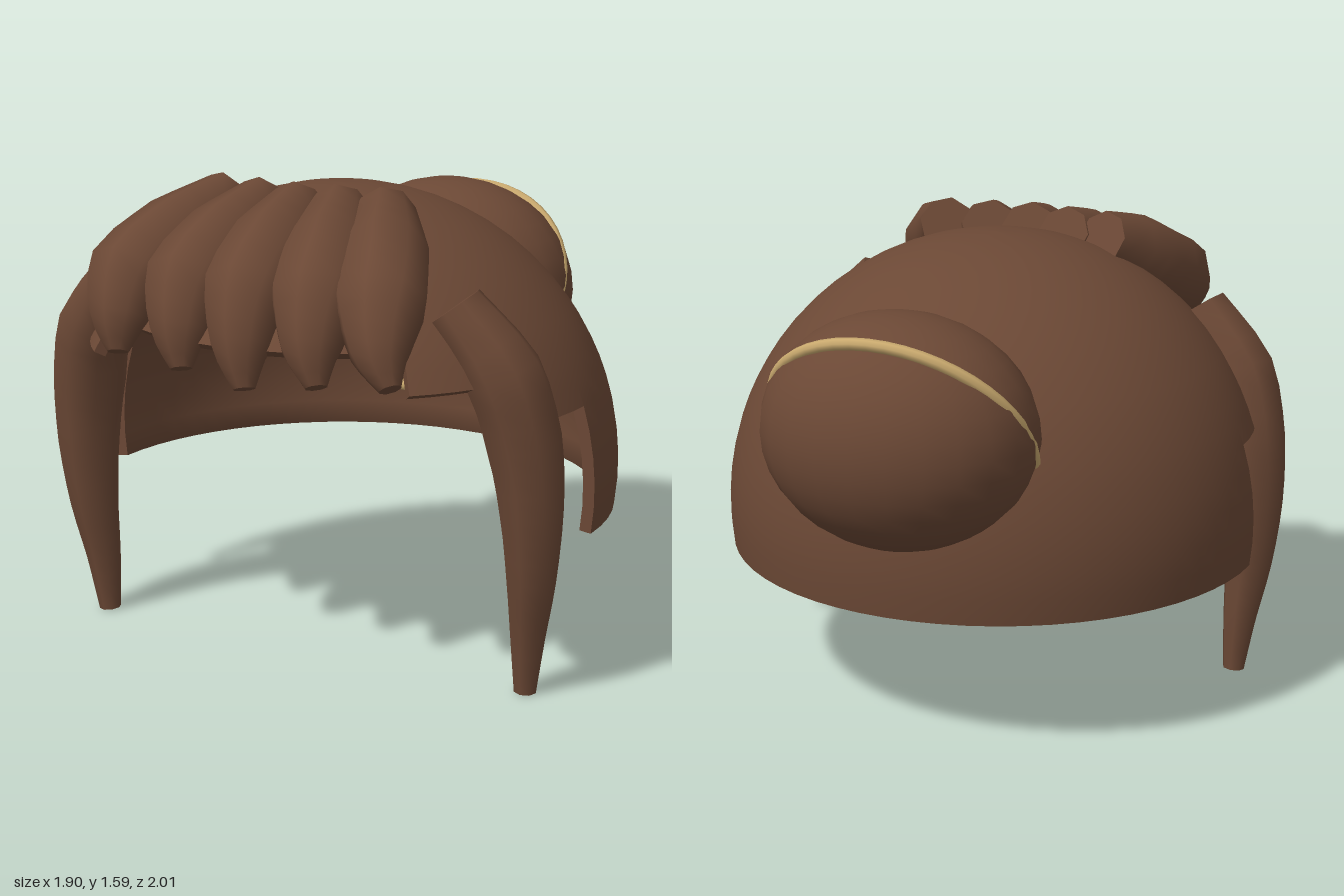
import * as THREE from 'three';

const hair = new THREE.MeshStandardMaterial({ color: 0x6b4835, side: THREE.DoubleSide });
hair.name = 'brown hair';
const gold = new THREE.MeshStandardMaterial({ color: 0xc9a96e });
gold.name = 'gold band';

function add(parent, name, geometry, material) {
  const mesh = new THREE.Mesh(geometry, material);
  mesh.name = name;
  parent.add(mesh);
  return mesh;
}

// Tapered lock swept along a curve; stations are [x, y, z, radius]
function lockGeometry(stations, ref, sides = 8, steps = 12) {
  const curve = new THREE.CatmullRomCurve3(stations.map(s => new THREE.Vector3(s[0], s[1], s[2])));
  const pos = [], index = [];
  const ring = (k, scale) => {
    const f = k / steps, p = curve.getPoint(f), t = curve.getTangent(f);
    const u = new THREE.Vector3().crossVectors(ref, t).normalize();
    const v = new THREE.Vector3().crossVectors(t, u);
    const g = f * (stations.length - 1), i = Math.min(Math.floor(g), stations.length - 2);
    const r = THREE.MathUtils.lerp(stations[i][3], stations[i + 1][3], g - i) * scale;
    for (let j = 0; j < sides; j++) {
      const a = j / sides * Math.PI * 2;
      const q = p.clone().addScaledVector(u, r * Math.cos(a)).addScaledVector(v, r * Math.sin(a));
      pos.push(q.x, q.y, q.z);
    }
  };
  // doubled end rings keep the flat ends sharp
  ring(0, 0); ring(0, 1);
  for (let k = 0; k <= steps; k++) ring(k, 1);
  ring(steps, 1); ring(steps, 0);
  const rings = pos.length / 3 / sides;
  for (let i = 0; i < rings - 1; i++) {
    if (i === 1 || i === rings - 3) continue;
    for (let j = 0; j < sides; j++) {
      const a = i * sides + j, b = i * sides + (j + 1) % sides;
      index.push(a, b, a + sides, b, b + sides, a + sides);
    }
  }
  const geo = new THREE.BufferGeometry();
  geo.setAttribute('position', new THREE.Float32BufferAttribute(pos, 3));
  geo.setIndex(index);
  geo.computeVertexNormals();
  return geo;
}

// Cap: thick sphere sectors with a stepped hem
function buildCap() {
  const cap = new THREE.Group();
  cap.name = 'cap';
  cap.position.set(0, 0.615, 0.16);
  const R = 0.93, THICK = 0.04, deg = Math.PI / 180;

  // shared polar angles, so neighbouring sectors meet exactly
  const angles = [0], hems = [];
  for (const [hem, n] of [[1.15, 10], [1.03, 2], [0.9, 2], [0.48, 5]]) {
    const from = angles[angles.length - 1], to = Math.acos((hem - 0.615) / R);
    for (let i = 1; i <= n; i++) angles.push(from + (to - from) * i / n);
    hems.push(angles.length);
  }
  const arc = (r, a, b) => angles.slice(a, b).map(t => new THREE.Vector2(r * Math.sin(t), r * Math.cos(t)));

  const sectors = [ // name, azimuth from the front, span, hem step, segments
    ['Front', -44, 88, 0, 16],
    ['TempleLeft', 44, 21, 1, 4], ['TempleRight', -65, 21, 1, 4],
    ['SideLeft', 65, 25, 2, 5], ['SideRight', -90, 25, 2, 5],
    ['Back', 90, 180, 3, 32],
  ];
  for (const [name, from, span, step, seg] of sectors) {
    const outer = arc(R, 0, hems[step]).reverse();
    const inner = [...arc(R - THICK, 0, hems[step]), outer[0].clone()];
    add(cap, 'capOuter' + name, new THREE.LatheGeometry(outer, seg, from * deg, span * deg), hair);
    add(cap, 'capInner' + name, new THREE.LatheGeometry(inner, seg, from * deg, span * deg), hair);
  }

  // cut faces where the hem steps down
  [44, 65, 90].forEach((azimuth, i) => {
    const a = hems[i] - 1, b = hems[i + 1];
    const face = new THREE.ShapeGeometry(new THREE.Shape([...arc(R, a, b), ...arc(R - THICK, a, b).reverse()]));
    for (const s of [1, -1]) {
      add(cap, 'capCut', face, hair).rotation.y = (s * azimuth - 90) * deg;
    }
  });
  return cap;
}

export function createModel() {
  const model = new THREE.Group();
  model.name = 'hair';
  model.add(buildCap());

  // Bun with a tilted band around it
  const bun = add(model, 'bun', new THREE.SphereGeometry(1, 24, 18), hair);
  bun.scale.set(0.46, 0.383, 0.37);
  bun.position.set(0, 1.063, -0.63);
  const band = add(model, 'bunBand', new THREE.TorusGeometry(0.405, 0.02, 8, 48), gold);
  band.position.set(0, 1.06, -0.61);
  band.rotation.x = -0.607;
  band.scale.x = 1.085;

  // Fringe: five locks fanning forward and down
  const xAxis = new THREE.Vector3(1, 0, 0);
  const fringe = [ // start x, middle x, tip x, tip y offset, z offset
    [-0.29, -0.41, -0.37, 0.03, -0.03],
    [-0.14, -0.18, -0.12, 0.01, -0.01],
    [0.0, 0.05, 0.12, -0.02, 0.01],
    [0.14, 0.28, 0.36, 0.01, -0.01],
    [0.29, 0.49, 0.6, 0.03, -0.03],
  ];
  fringe.forEach(([x0, x1, x2, dy, dz], i) => {
    add(model, 'fringeLock' + (i + 1), lockGeometry([
      [x0, 1.505, 0.41 + dz, 0.095],
      [(x0 + x1) / 2, 1.41, 0.61 + dz, 0.143],
      [x1, 1.30, 0.81 + dz, 0.145],
      [(x1 + x2) / 2, 1.17 + dy / 2, 0.91 + dz, 0.095],
      [x2, 1.06 + dy, 0.95 + dz, 0.035],
    ], xAxis), hair);
  });

  // Long side locks, mirrored
  const zAxis = new THREE.Vector3(0, 0, 1);
  for (const [side, s] of [['left', 1], ['right', -1]]) {
    add(model, side + 'SideLock', lockGeometry([
      [s * 0.61, 1.265, 0.52, 0.092],
      [s * 0.76, 1.06, 0.49, 0.127],
      [s * 0.82, 0.84, 0.455, 0.124],
      [s * 0.842, 0.62, 0.44, 0.106],
      [s * 0.838, 0.4, 0.425, 0.084],
      [s * 0.82, 0.2, 0.405, 0.06],
      [s * 0.807, 0.002, 0.392, 0.038],
    ], zAxis, 8, 18), hair);
  }
  return model;
}
